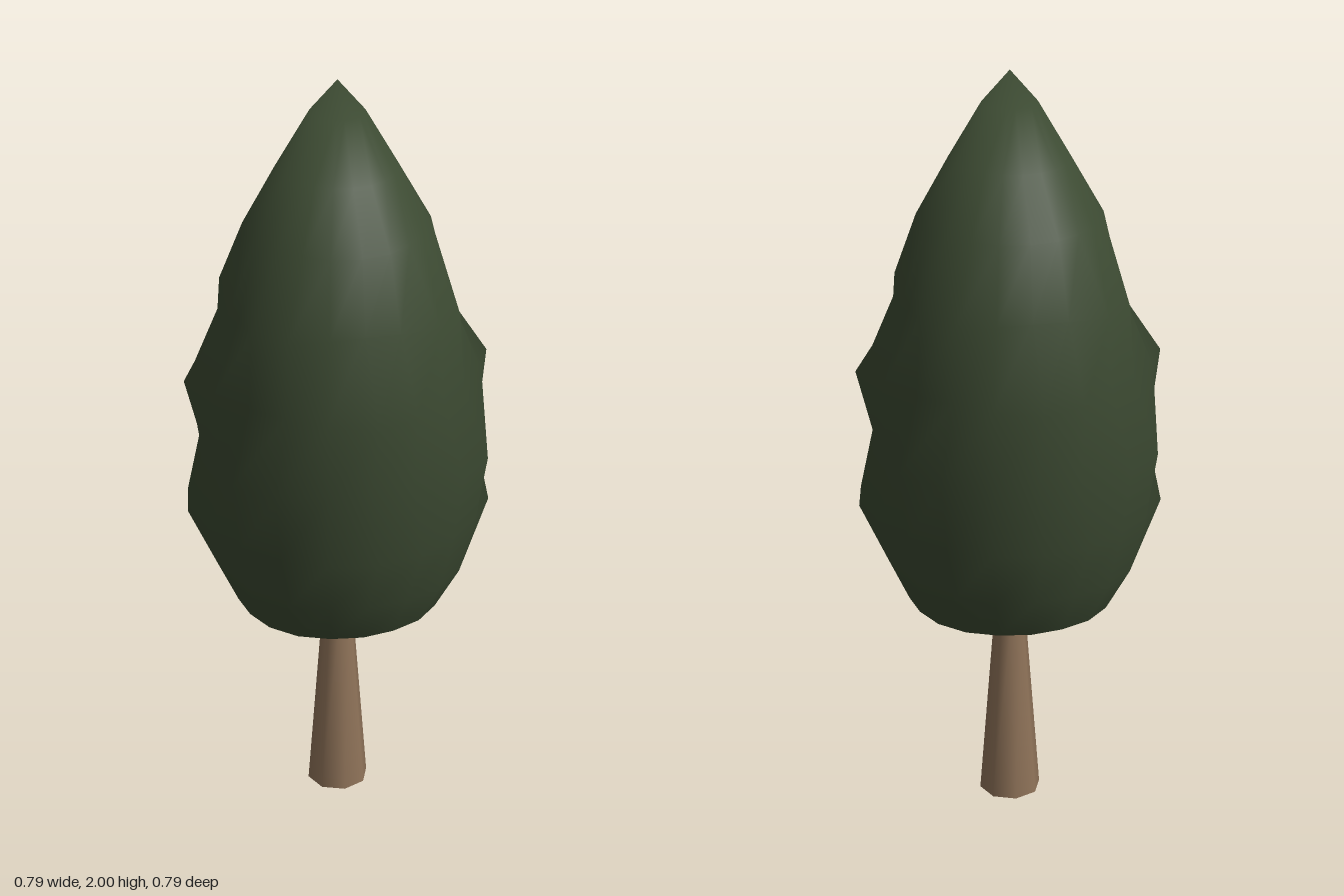
import * as THREE from 'three';

// Foliage rings from bottom to top: height, then radius at 0, 18 and 36 degrees of each quarter
const RINGS = [
  [0.51, 0, 0, 0],
  [0.52, 0.04, 0.04, 0.04],
  [0.6, 0.27, 0.27, 0.275],
  [0.72, 0.325, 0.33, 0.34],
  [0.88, 0.397, 0.394, 0.38],
  [1.06, 0.35, 0.355, 0.408],
  [1.25, 0.397, 0.365, 0.34],
  [1.44, 0.27, 0.285, 0.325],
  [1.63, 0.24, 0.236, 0.225],
  [1.78, 0.153, 0.153, 0.15],
  [1.92, 0.07, 0.07, 0.07],
  [2, 0, 0, 0],
];
const QUARTER = [1, 2, 3, 3, 2]; // radius column for each 18 degree step
const SEGMENTS = 20;

function foliageGeometry() {
  const positions = [], normals = [], indices = [];
  const n = new THREE.Vector3();
  for (const ring of RINGS) {
    for (let j = 0; j <= SEGMENTS; j++) {
      const a = (j / SEGMENTS) * Math.PI * 2;
      const r = ring[QUARTER[j % 5]];
      const x = Math.sin(a) * r, y = ring[0], z = Math.cos(a) * r;
      positions.push(x, y, z);
      // egg-shaped normals keep the crown softly shaded over its bumpy outline
      n.set(x / 0.16, (y - 1.15) / 0.62, z / 0.16).normalize();
      normals.push(n.x, n.y, n.z);
    }
  }
  const row = SEGMENTS + 1;
  for (let i = 0; i < RINGS.length - 1; i++) {
    for (let j = 0; j < SEGMENTS; j++) {
      const a = i * row + j, b = a + 1, c = b + row, d = a + row;
      if (i > 0) indices.push(a, b, c);
      else indices.push(a, c, d);
      if (i > 0 && i < RINGS.length - 2) indices.push(a, c, d);
    }
  }
  const geometry = new THREE.BufferGeometry();
  geometry.setAttribute('position', new THREE.Float32BufferAttribute(positions, 3));
  geometry.setAttribute('normal', new THREE.Float32BufferAttribute(normals, 3));
  geometry.setIndex(indices);
  return geometry;
}

export function createModel() {
  const leafGreen = new THREE.MeshStandardMaterial({ color: 0x3c4a32 });
  leafGreen.name = 'leafGreen';
  const barkBrown = new THREE.MeshStandardMaterial({ color: 0x8f7359 });
  barkBrown.name = 'barkBrown';

  const group = new THREE.Group();
  group.name = 'tree';

  // Tapered eight-sided trunk
  const trunk = new THREE.Mesh(new THREE.CylinderGeometry(0.04, 0.083, 0.56, 8), barkBrown);
  trunk.position.y = 0.28;
  trunk.name = 'trunk';

  // Bumpy pointed crown
  const foliage = new THREE.Mesh(foliageGeometry(), leafGreen);
  foliage.name = 'foliage';

  group.add(trunk, foliage);
  return group;
}
